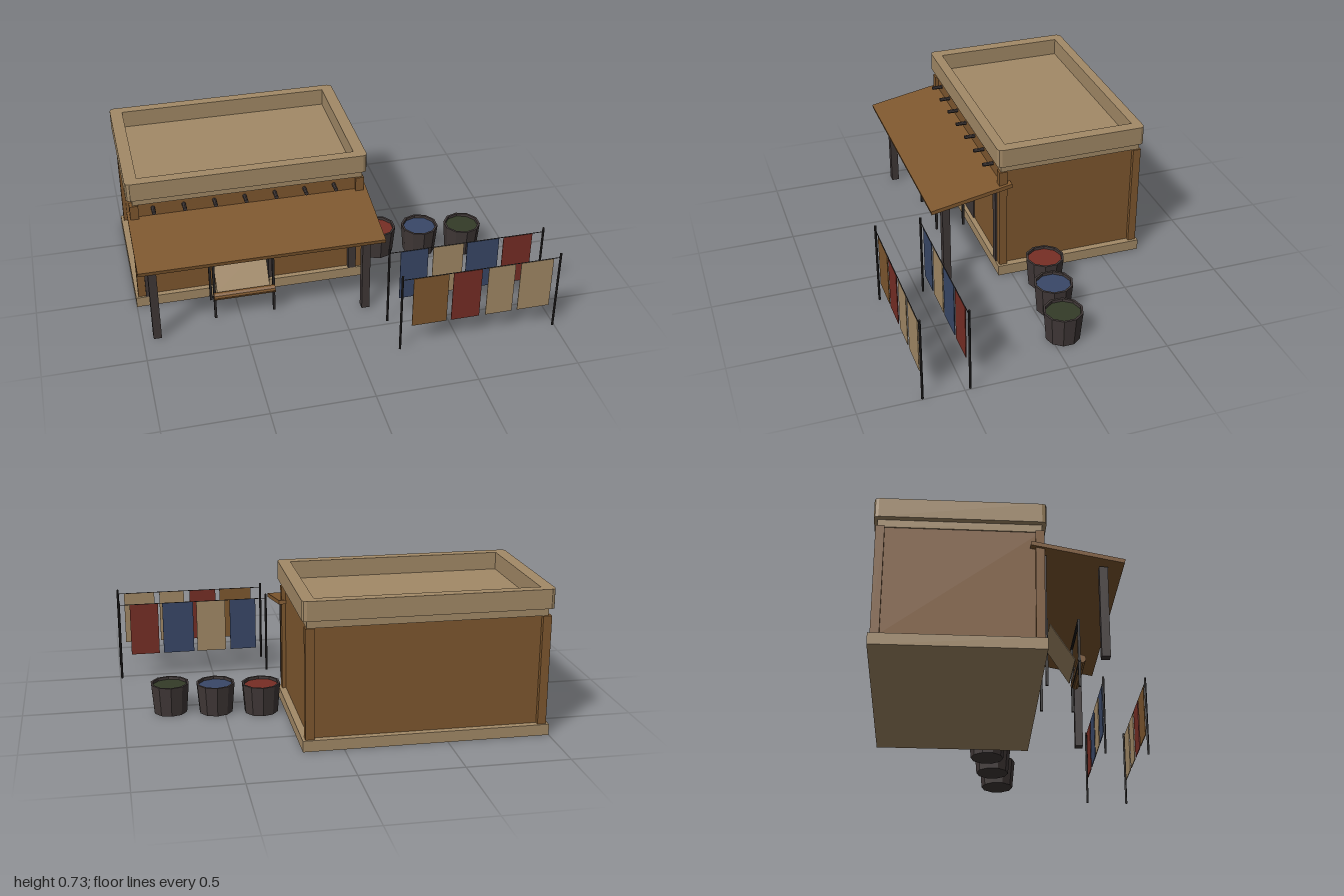
import * as THREE from 'three';

const mat = (name, color, extra = {}) => {
  const m = new THREE.MeshStandardMaterial({ color, flatShading: true, ...extra });
  m.name = name;
  return m;
};

export function createModel() {
  const tan = mat('tan plaster', 0xa38a67);
  const brown = mat('brown clay', 0x7f582f);
  const dark = mat('dark timber', 0x403837);
  const black = mat('black pole', 0x2a2727);
  const red = mat('red dye', 0x772e25);
  const blue = mat('blue dye', 0x394868);
  const green = mat('green dye', 0x343c28);

  const root = new THREE.Group();
  root.name = 'dyerWorkshop';
  const group = (name) => {
    const g = new THREE.Group();
    g.name = name;
    root.add(g);
    return g;
  };
  const add = (parent, name, geo, material, x = 0, y = 0, z = 0) => {
    const m = new THREE.Mesh(geo, material);
    m.name = name;
    m.position.set(x, y, z);
    parent.add(m);
    return m;
  };
  // Box given by its minimum and maximum on each axis
  const box = (parent, name, material, x0, x1, y0, y1, z0, z1) =>
    add(parent, name, new THREE.BoxGeometry(x1 - x0, y1 - y0, z1 - z0), material,
      (x0 + x1) / 2, (y0 + y1) / 2, (z0 + z1) / 2);
  // Horizontal rod along x
  const rodX = (parent, name, material, x0, x1, y, z, r, sides = 6) => {
    const m = add(parent, name, new THREE.CylinderGeometry(r, r, x1 - x0, sides), material, (x0 + x1) / 2, y, z);
    m.rotation.z = Math.PI / 2;
    return m;
  };

  // House body
  const house = group('house');
  box(house, 'plinth', tan, -1, 0.197, 0, 0.055, -0.703, 0.07);
  box(house, 'walls', brown, -0.967, 0.163, 0.055, 0.596, -0.67, 0.043);
  for (const x of [-0.966, 0.162])
    for (const z of [-0.673, 0.04])
      box(house, 'cornerPost', brown, x - 0.021, x + 0.021, 0.055, 0.596, z - 0.02, z + 0.02);
  box(house, 'cornice', tan, -0.972, 0.175, 0.596, 0.635, -0.686, 0.05);

  // Parapet: four walls and rounded corners
  const parapet = group('parapet');
  const [y0, y1] = [0.633, 0.728];
  for (const [z0, z1] of [[-0.703, -0.653], [0.018, 0.07]])
    box(parapet, 'parapetLongWall', tan, -0.977, 0.176, y0, y1, z0, z1);
  for (const [x0, x1] of [[-1, -0.938], [0.137, 0.197]])
    box(parapet, 'parapetEndWall', tan, x0, x1, y0, y1, -0.682, 0.049);
  for (const x of [-0.979, 0.176])
    for (const z of [-0.682, 0.049])
      add(parapet, 'parapetCorner', new THREE.CylinderGeometry(0.021, 0.021, y1 - y0, 8), tan, x, (y0 + y1) / 2, z);
  box(parapet, 'roof', tan, -0.94, 0.14, 0.625, 0.64, -0.655, 0.02);

  // Protruding roof beams
  for (let i = 0; i < 7; i++) {
    const beam = add(house, 'roofBeam', new THREE.CylinderGeometry(0.01, 0.01, 0.07, 8), dark,
      -0.874 + i * 0.1508, 0.568, 0.063);
    beam.rotation.x = Math.PI / 2;
  }

  // Doorway
  box(house, 'door', dark, -0.513, -0.287, 0.055, 0.405, 0.04, 0.05);
  box(house, 'lintel', brown, -0.543, -0.265, 0.405, 0.435, 0.04, 0.065);

  // Awning with its front posts and wall posts
  const awning = group('awning');
  const sheet = add(awning, 'awningRoof', new THREE.BoxGeometry(1.2, 0.02, 0.425), brown, -0.4, 0.484, 0.207);
  sheet.rotation.x = 0.185;
  for (const x of [-0.929, 0.125]) {
    box(awning, 'awningPost', dark, x - 0.02, x + 0.02, 0, 0.442, 0.306, 0.345);
    box(awning, 'wallPost', dark, x - 0.02, x + 0.02, 0.055, 0.49, 0.04, 0.07);
  }

  // Weaving frame with stretched cloth
  const loom = group('loom');
  for (const x of [-0.625, -0.327])
    for (const z of [0.097, 0.247])
      box(loom, 'loomLeg', black, x - 0.006, x + 0.006, 0, 0.338, z - 0.006, z + 0.006);
  for (const z of [0.097, 0.247])
    rodX(loom, 'topBar', black, -0.635, -0.318, 0.333, z, 0.007);
  rodX(loom, 'lowerBar', black, -0.635, -0.318, 0.128, 0.247, 0.006);
  rodX(loom, 'clothRoller', brown, -0.63, -0.322, 0.138, 0.258, 0.02, 10);
  const web = add(loom, 'stretchedCloth', new THREE.BoxGeometry(0.266, 0.214, 0.004), tan, -0.477, 0.231, 0.173);
  web.rotation.x = -0.566;

  // Two drying lines: each cloth is [x0, x1, material]
  const rows = [
    { z: 0.697, cloths: [[0.258, 0.432, brown], [0.455, 0.598, red], [0.63, 0.765, tan], [0.793, 0.958, tan]] },
    { z: 0.473, cloths: [[0.26, 0.4, blue], [0.425, 0.58, tan], [0.598, 0.762, blue], [0.785, 0.935, red]] },
  ];
  for (const { z, cloths } of rows) {
    const line = group('dryingLine');
    for (const x of [0.203, 0.992])
      add(line, 'linePole', new THREE.CylinderGeometry(0.006, 0.006, 0.434, 8), black, x, 0.217, z);
    rodX(line, 'rope', black, 0.203, 0.992, 0.411, z, 0.002, 5);
    for (const [x0, x1, m] of cloths)
      box(line, 'hangingCloth', m, x0, x1, 0.132, 0.41, z - 0.002, z + 0.002);
  }

  // Dye vats
  const profile = [[0, 0], [0.085, 0], [0.098, 0.152], [0.087, 0.152], [0.085, 0.125], [0, 0.125]]
    .map(([r, y]) => new THREE.Vector2(r, y));
  for (const [x, z, dye] of [[0.315, -0.135, red], [0.54, -0.097, blue], [0.766, -0.06, green]]) {
    const vat = group('dyeVat');
    vat.position.set(x, 0, z);
    add(vat, 'tub', new THREE.LatheGeometry(profile, 10), dark);
    add(vat, 'dye', new THREE.CylinderGeometry(0.086, 0.085, 0.012, 10), dye, 0, 0.132, 0);
  }
  return root;
}
